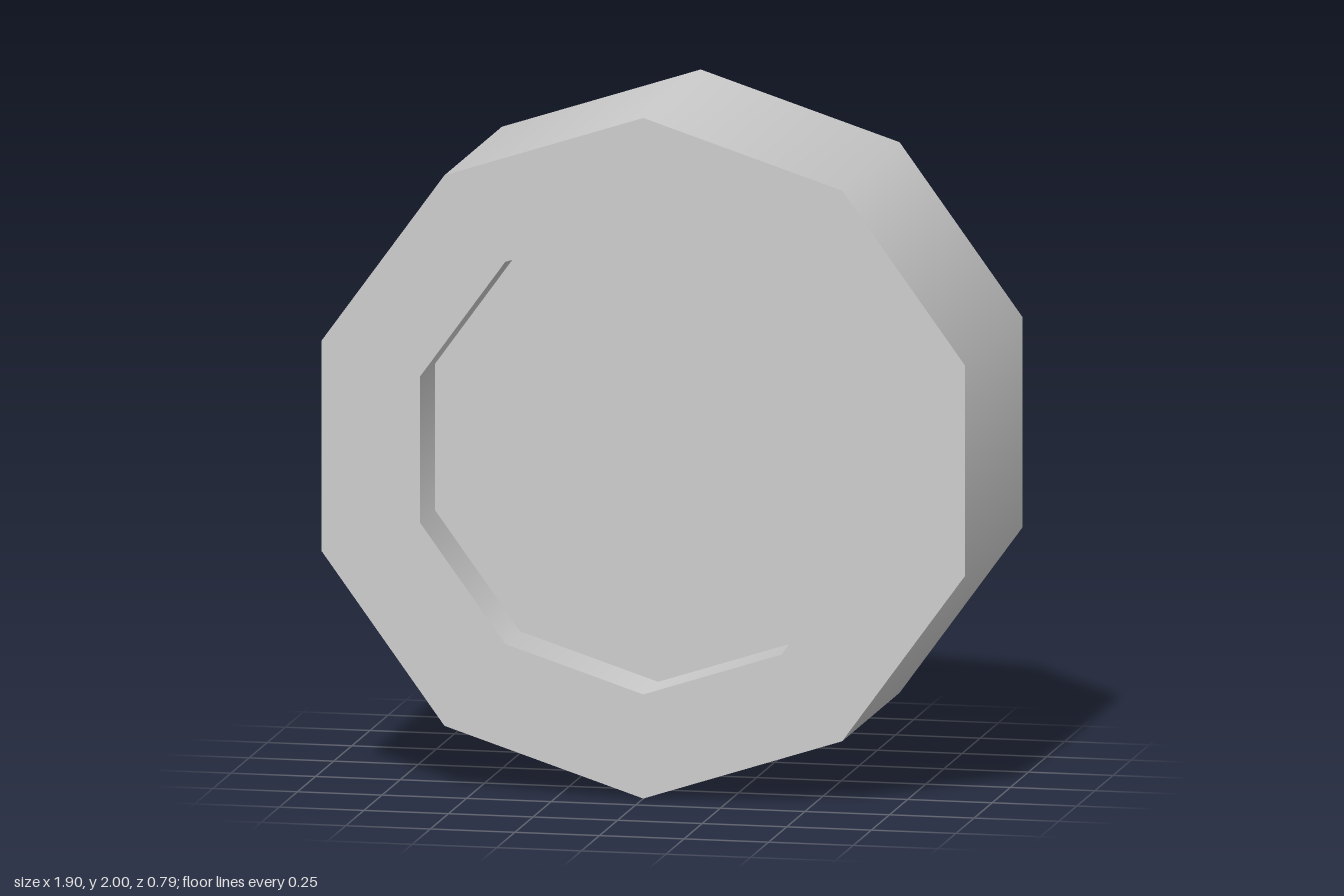
import * as THREE from 'three';

export function createModel() {
  const model = new THREE.Group();
  model.name = 'recessedDecagon';

  const grey = new THREE.MeshStandardMaterial({ color: 0xcccccc });
  grey.name = 'grey';

  const sides = 10;
  const outer = 1, inner = 0.694;          // corner radii
  const half = 0.396, floor = 0.19;        // half depth and recess floor height

  // Each band is turned separately: smooth around, sharp between bands
  const addBand = (name, from, to) => {
    const profile = [new THREE.Vector2(...from), new THREE.Vector2(...to)];
    const geometry = new THREE.LatheGeometry(profile, sides);
    geometry.rotateX(Math.PI / 2);         // turning axis now faces +z
    const mesh = new THREE.Mesh(geometry, grey);
    mesh.name = name;
    mesh.position.y = outer;
    model.add(mesh);
  };

  addBand('backFace', [0, -half], [outer, -half]);
  addBand('outerWall', [outer, -half], [outer, half]);
  addBand('frontRim', [outer, half], [inner, half]);
  addBand('recessWall', [inner, half], [inner, floor]);
  addBand('recessFloor', [inner, floor], [0, floor]);

  return model;
}
